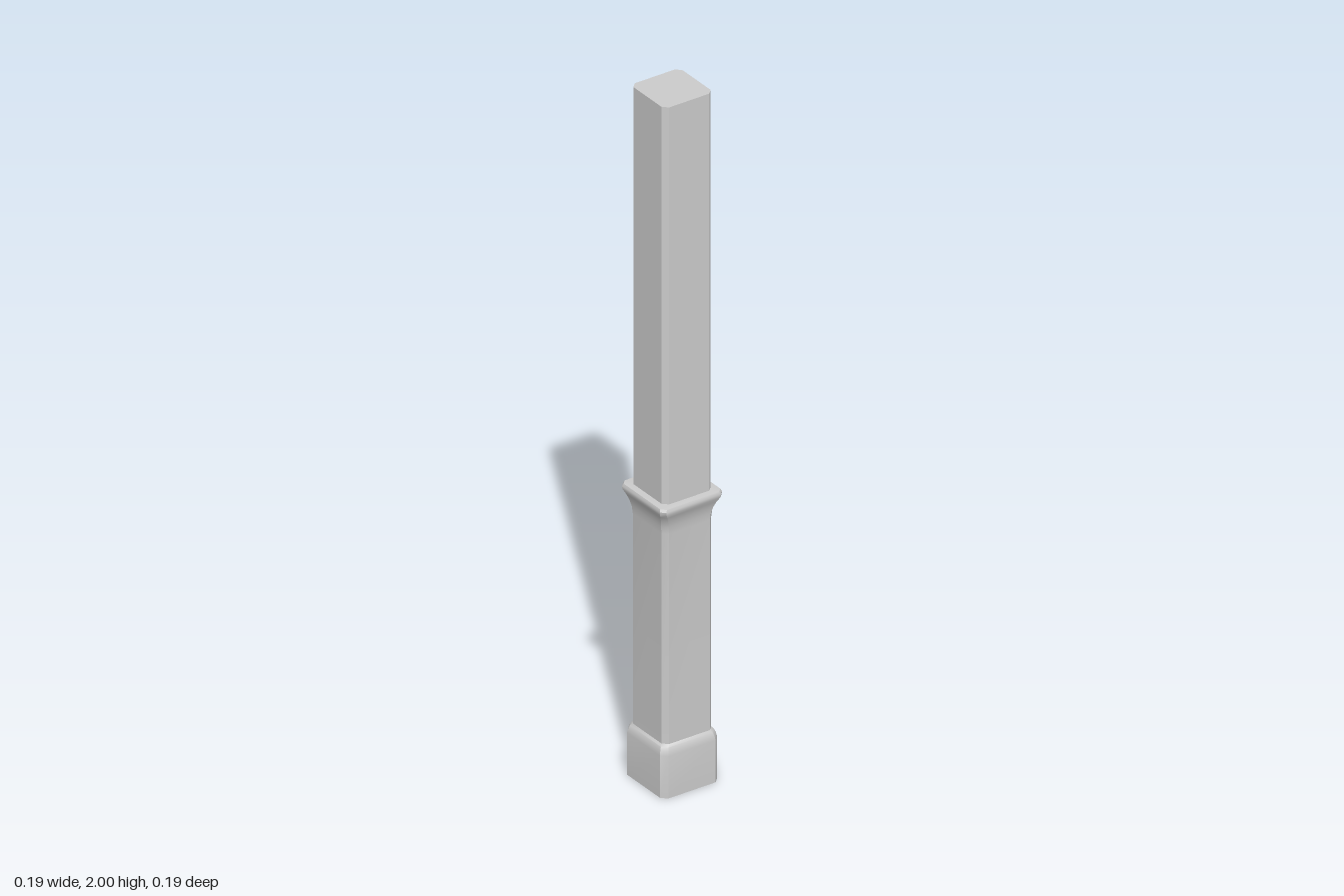
import * as THREE from 'three';
import { toCreasedNormals } from 'three/addons/utils/BufferGeometryUtils.js';

const material = new THREE.MeshStandardMaterial({ color: 0xcccccc });

// Square outline with cut corners, counter-clockwise seen from above
function ring([half, y, cut]) {
  const a = half, b = half - cut;
  return [[a, b], [a, -b], [b, -a], [-b, -a], [-a, -b], [-a, b], [-b, a], [b, a]]
    .map(([x, z]) => [x, y, z]);
}

// Loft through sections [half width, height, corner cut] from bottom to top, with end caps
function loft(name, sections) {
  const rings = sections.map(ring);
  const positions = [], index = [];
  rings.forEach(r => r.forEach(p => positions.push(...p)));
  for (let i = 0; i < rings.length - 1; i++) {
    for (let j = 0; j < 8; j++) {
      const k = (j + 1) % 8;
      const a = i * 8 + j, b = i * 8 + k;
      index.push(a, b, b + 8, a, b + 8, a + 8);
    }
  }
  const top = (rings.length - 1) * 8;
  for (let j = 1; j < 7; j++) {
    index.push(0, j + 1, j);
    index.push(top, top + j, top + j + 1);
  }
  const geometry = new THREE.BufferGeometry();
  geometry.setAttribute('position', new THREE.Float32BufferAttribute(positions, 3));
  geometry.setIndex(index);
  const mesh = new THREE.Mesh(toCreasedNormals(geometry, 0.65), material);
  mesh.name = name;
  return mesh;
}

export function createModel() {
  const group = new THREE.Group();
  group.name = 'post';

  // Plain upper shaft
  group.add(loft('upperShaft', [[0.076, 0.8, 0.014], [0.076, 2, 0.014]]));

  // Lower shaft flaring out into the collar
  group.add(loft('lowerShaftAndCollar', [
    [0.077, 0.1, 0.014],
    [0.077, 0.76, 0.014],
    [0.079, 0.782, 0.014],
    [0.083, 0.8, 0.013],
    [0.089, 0.816, 0.013],
    [0.095, 0.828, 0.012],
    [0.096, 0.837, 0.012],
    [0.093, 0.844, 0.012],
    [0.076, 0.846, 0.014],
  ]));

  // Foot block with a rounded shoulder
  group.add(loft('foot', [
    [0.088, 0, 0.015],
    [0.088, 0.122, 0.015],
    [0.086, 0.134, 0.015],
    [0.082, 0.144, 0.014],
    [0.077, 0.15, 0.014],
  ]));

  return group;
}
